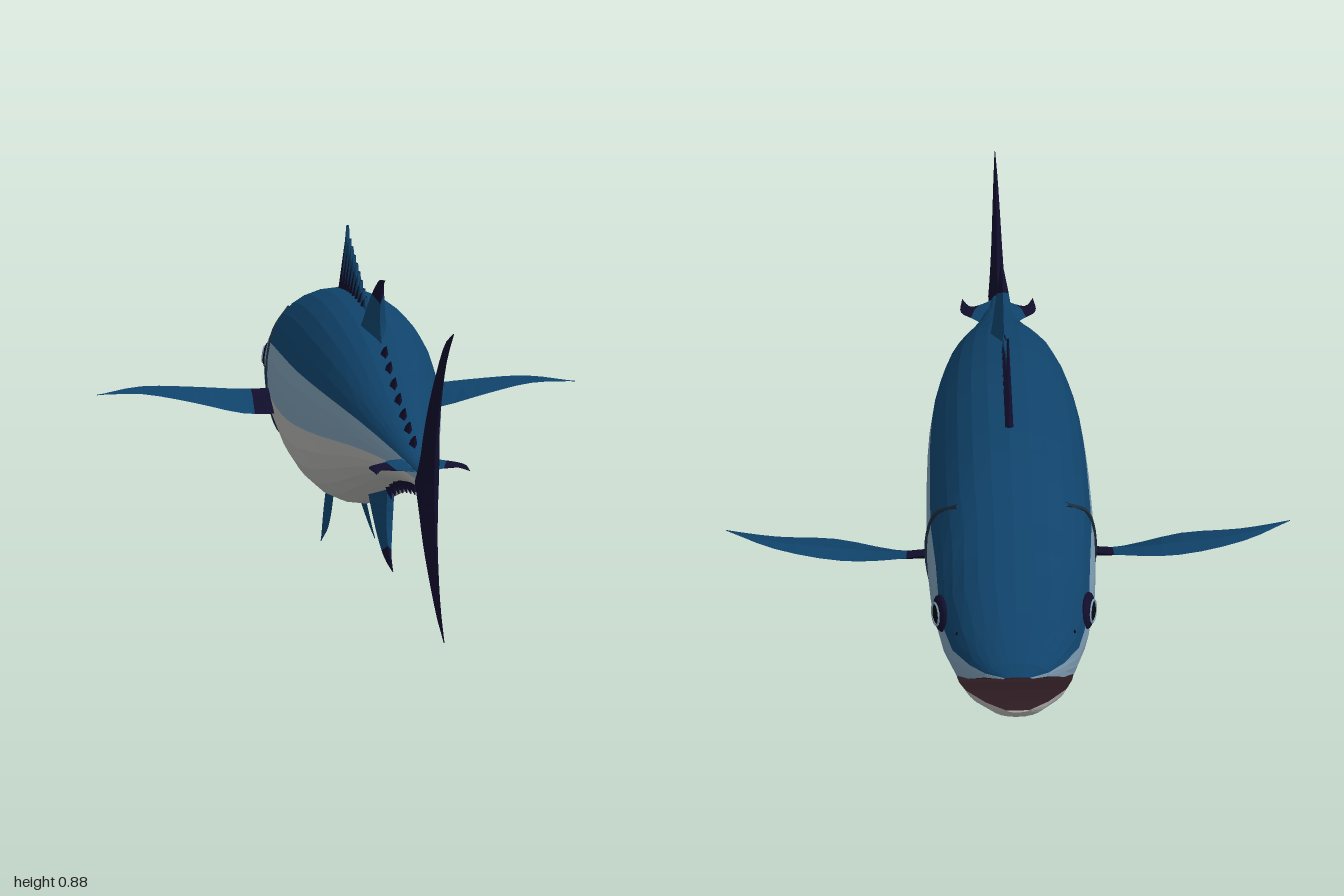
import * as THREE from 'three';

const mat = (name, color) => new THREE.MeshStandardMaterial({ name, color, flatShading: true, side: THREE.DoubleSide });
const M = {
  blue: mat('backBlue', 0x10436b), steel: mat('flankSteel', 0x7b99af), belly: mat('bellyGrey', 0xb2b2b0),
  navy: mat('finNavy', 0x110e2c), mouth: mat('mouthDark', 0x2e1c22), black: mat('pupilBlack', 0x07070b),
  gill: mat('gillLine', 0x1b2c3c),
};
const V = (x, y, z) => new THREE.Vector3(x, y, z);
const curve = pts => new THREE.CatmullRomCurve3(pts.map(p => V(...p)));

// Sections: z, top, widest height, bottom, half width, blue edge, belly edge (or lip)
const KEYS = [
  [0.76, 0.42, 0.4, 0.38, 0.012, 0.41, 0.4],
  [0.7, 0.425, 0.4, 0.375, 0.022, 0.415, 0.4],
  [0.6, 0.455, 0.41, 0.365, 0.045, 0.435, 0.408],
  [0.4, 0.535, 0.425, 0.32, 0.1, 0.475, 0.41],
  [0.2, 0.635, 0.435, 0.24, 0.155, 0.51, 0.4],
  [0, 0.69, 0.44, 0.175, 0.188, 0.53, 0.39],
  [-0.2, 0.71, 0.44, 0.15, 0.2, 0.54, 0.385],
  [-0.4, 0.705, 0.44, 0.15, 0.2, 0.54, 0.39],
  [-0.55, 0.685, 0.44, 0.18, 0.197, 0.535, 0.39],
  [-0.67, 0.645, 0.435, 0.22, 0.188, 0.525, 0.375],
  [-0.78, 0.59, 0.42, 0.265, 0.167, 0.455, 0.33],
];
const END = KEYS[KEYS.length - 1];
const SNOUT = [END,
  [-0.86, 0.543, 0.42, 0.285, 0.14, 0.44, 0.365],
  [-0.92, 0.505, 0.43, 0.32, 0.105, 0.45, 0.41],
  [-0.955, 0.483, 0.445, 0.34, 0.07, 0.456, 0.445],
  [-0.975, 0.462, 0.458, 0.36, 0.03, 0.46, 0.457]];
const JAW = [END,
  [-0.86, 0.543, 0.41, 0.284, 0.142, 0, 0.345],
  [-0.92, 0.505, 0.4, 0.312, 0.113, 0, 0.375],
  [-0.97, 0.48, 0.395, 0.342, 0.068, 0, 0.386],
  [-1.0, 0.43, 0.392, 0.384, 0.025, 0, 0.39]];

// Smooth the body by adding a section between each pair
const BODY = [];
KEYS.forEach((s, i) => {
  BODY.push(s);
  if (i === KEYS.length - 1) return;
  const a = KEYS[Math.max(i - 1, 0)], b = KEYS[i + 1], c = KEYS[Math.min(i + 2, KEYS.length - 1)];
  BODY.push(s.map((v, k) => k ? (9 * (v + b[k]) - a[k] - c[k]) / 16 : (v + b[k]) / 2));
});
const sample = z => {
  let i = 0;
  while (i < BODY.length - 2 && BODY[i + 1][0] > z) i++;
  const t = (z - BODY[i][0]) / (BODY[i + 1][0] - BODY[i][0]);
  return BODY[i].map((v, k) => v + (BODY[i + 1][k] - v) * t);
};

// Rounded cross-section
const N = 2.2;
const pow = (v, e) => Math.sign(v) * Math.abs(v) ** e;
const point = (s, a) => {
  const sn = Math.sin(a), h = sn > 0 ? s[1] - s[2] : s[2] - s[3];
  return V(s[4] * pow(Math.cos(a), 2 / N), s[2] + h * pow(sn, 2 / N), s[0]);
};
const angle = (s, y) => {
  const r = (y - s[2]) / (y > s[2] ? s[1] - s[2] : s[2] - s[3]);
  return Math.asin(pow(THREE.MathUtils.clamp(r, -1, 1), N / 2));
};
const surfaceX = (z, y) => { const s = sample(z); return point(s, angle(s, y)).x; };

// Skin over rows of points
function loft(name, rows, material) {
  const pos = [], w = rows[0].length;
  for (let i = 0; i < rows.length - 1; i++) for (let j = 0; j < w - 1; j++) {
    const a = rows[i][j], b = rows[i][j + 1], c = rows[i + 1][j], d = rows[i + 1][j + 1];
    for (const p of [a, c, b, b, c, d]) pos.push(p.x, p.y, p.z);
  }
  const g = new THREE.BufferGeometry();
  g.setAttribute('position', new THREE.Float32BufferAttribute(pos, 3));
  g.computeVertexNormals();
  const m = new THREE.Mesh(g, material);
  m.name = name;
  return m;
}
function band(name, secs, from, to, n, material) {
  return loft(name, secs.map(s => Array.from({ length: n + 1 }, (_, j) =>
    point(s, from(s) + (to(s) - from(s)) * j / n))), material);
}

// Lens-shaped fin between a leading and a trailing edge; the part after split is navy
function fin(name, lead, trail, thick, normal, split = 1, first = M.blue, second = M.navy) {
  const L = curve(lead), T = curve(trail), n = 12, cut = Math.round(split * n);
  const rows = Array.from({ length: n + 1 }, (_, i) => {
    const t = i / n, l = L.getPoint(t), r = T.getPoint(t);
    const mid = l.clone().lerp(r, 0.45), off = normal.clone().multiplyScalar(thick * (1 - t) + 0.001);
    return [l, mid.clone().add(off), r, mid.clone().sub(off), l];
  });
  const g = new THREE.Group();
  g.name = name;
  if (cut > 0) g.add(loft(name + 'Base', rows.slice(0, cut + 1), first));
  if (cut < n) g.add(loft(name + 'Tip', rows.slice(cut), second));
  return g;
}
const X = V(1, 0, 0), Y = V(0, 1, 0);
const flat = pts => pts.map(([z, y]) => [0, y, z]);

export function createModel() {
  const root = new THREE.Group();
  root.name = 'fish';
  const PI = Math.PI, eB = s => angle(s, s[5]), eS = s => angle(s, s[6]);

  // Body, snout and lower jaw in colour bands
  for (const [name, secs] of [['body', BODY], ['snout', SNOUT]]) {
    root.add(band(name + 'Back', secs, eB, s => PI - eB(s), 12, M.blue));
    root.add(band(name + 'FlankLeft', secs, eS, eB, 3, M.steel));
    root.add(band(name + 'FlankRight', secs, s => PI - eB(s), s => PI - eS(s), 3, M.steel));
  }
  for (const [name, secs] of [['bodyBelly', BODY], ['lowerJaw', JAW]])
    root.add(band(name, secs, s => PI - eS(s), s => 2 * PI + eS(s), 12, M.belly));
  root.add(loft('mouthRoof', SNOUT.map(s => [point(s, PI - eS(s)), point(s, eS(s))]), M.mouth));
  root.add(loft('mouthFloor', JAW.map(s => [point(s, eS(s)), point(s, PI - eS(s))]), M.mouth));

  // Tail lobes
  root.add(fin('tailUpper', flat([[0.69, 0.4], [0.735, 0.45], [0.77, 0.545], [0.84, 0.65], [0.92, 0.725], [1, 0.757]]),
    flat([[0.83, 0.4], [0.832, 0.45], [0.843, 0.51], [0.875, 0.59], [0.93, 0.68], [1, 0.757]]), 0.026, X, 0, M.navy));
  root.add(fin('tailLower', flat([[0.69, 0.4], [0.715, 0.34], [0.75, 0.25], [0.8, 0.18], [0.86, 0.125], [0.935, 0.09]]),
    flat([[0.83, 0.4], [0.835, 0.35], [0.842, 0.3], [0.862, 0.24], [0.89, 0.17], [0.935, 0.09]]), 0.026, X, 0, M.navy));

  // Second dorsal and anal fins
  root.add(fin('secondDorsalFin', flat([[0.0, 0.67], [0.06, 0.71], [0.12, 0.755], [0.18, 0.782], [0.26, 0.79]]),
    flat([[0.22, 0.62], [0.2, 0.66], [0.197, 0.71], [0.21, 0.755], [0.26, 0.79]]), 0.035, X, 0.6));
  root.add(fin('analFin', flat([[0.13, 0.26], [0.19, 0.2], [0.24, 0.14], [0.29, 0.1], [0.37, 0.09]]),
    flat([[0.3, 0.29], [0.285, 0.22], [0.29, 0.17], [0.315, 0.125], [0.37, 0.09]]), 0.035, X, 0.65));

  // First dorsal fin: notched membrane with spines
  const spines = Array.from({ length: 9 }, (_, i) => {
    const z = -0.385 + i * 0.042, t = i / 8;
    const rise = i === 0 ? 0.18 : 0.14 * (1 - t) ** 1.2 + 0.025;
    return { z, y: sample(z)[1] - 0.015, tz: z + 0.1 - 0.05 * t, ty: sample(z)[1] + rise };
  });
  const shape = new THREE.Shape();
  shape.moveTo(spines[0].z, spines[0].y);
  spines.forEach((s, i) => {
    shape.lineTo(s.tz, s.ty);
    const q = spines[i + 1];
    if (q) shape.lineTo(s.tz * 0.35 + q.tz * 0.65 - 0.012, Math.min(s.ty, q.ty) - 0.025);
  });
  shape.lineTo(0.02, 0.67);
  const membrane = new THREE.ExtrudeGeometry(shape, { depth: 0.008, bevelEnabled: false });
  membrane.translate(0, 0, -0.004).rotateY(-PI / 2);
  const dorsal = new THREE.Mesh(membrane, M.blue);
  dorsal.name = 'firstDorsalFin';
  root.add(dorsal);
  spines.forEach(s => {
    const a = V(0, s.y, s.z), d = V(0, s.ty, s.tz).sub(a);
    const m = new THREE.Mesh(new THREE.CylinderGeometry(0.002, 0.012, d.length(), 6), M.navy);
    m.position.copy(a).addScaledVector(d, 0.5);
    m.quaternion.setFromUnitVectors(Y, d.normalize());
    m.name = 'dorsalSpine';
    root.add(m);
  });

  // Finlets along both edges of the tail stem
  for (const [name, k, dir, z0] of [['upperFinlet', 1, 1, 0.26], ['lowerFinlet', 3, -1, 0.33]])
    for (let i = 0; i < 7; i++) {
      const z = z0 + i * (0.61 - z0) / 6, y = sample(z)[k];
      const at = pts => flat(pts.map(([dz, dy]) => [z + dz, y + dir * dy]));
      root.add(fin(name, at([[-0.03, -0.01], [-0.012, 0.016], [0.018, 0.026]]),
        at([[0.015, -0.015], [0.01, 0.008], [0.018, 0.026]]), 0.012, X, 0));
    }

  // Paired parts
  for (const side of [1, -1]) {
    const tag = side > 0 ? 'Left' : 'Right';
    const mir = pts => pts.map(([x, y, z]) => [x * side, y, z]);

    root.add(fin('pectoralFin' + tag,
      mir([[0.185, 0.41, -0.485], [0.28, 0.408, -0.5], [0.4, 0.415, -0.51], [0.56, 0.427, -0.475], [0.685, 0.42, -0.39]]),
      mir([[0.185, 0.35, -0.4], [0.28, 0.355, -0.395], [0.42, 0.39, -0.393], [0.56, 0.415, -0.412], [0.685, 0.42, -0.39]]),
      0.014, Y, 0.14, M.navy, M.blue));

    root.add(fin('pelvicFin' + tag,
      mir([[0.035, 0.18, -0.4], [0.048, 0.12, -0.39], [0.062, 0.06, -0.35], [0.077, 0.003, -0.29]]),
      mir([[0.035, 0.18, -0.31], [0.048, 0.115, -0.262], [0.062, 0.05, -0.255], [0.077, 0.003, -0.29]]),
      0.012, X));

    root.add(fin('tailKeel' + tag,
      mir([[0.03, 0.412, 0.55], [0.07, 0.412, 0.6], [0.108, 0.412, 0.64], [0.105, 0.412, 0.72]]),
      mir([[0.01, 0.412, 0.72], [0.045, 0.412, 0.69], [0.08, 0.412, 0.675], [0.105, 0.412, 0.72]]),
      0.014, Y, 0.4));

    // Gill cover edge lying on the skin
    const gill = curve([[-0.59, 0.63], [-0.54, 0.57], [-0.518, 0.48], [-0.515, 0.385], [-0.545, 0.29], [-0.59, 0.25], [-0.65, 0.238]]
      .map(([z, y]) => [side * surfaceX(z, y), y, z]));
    const edge = new THREE.Mesh(new THREE.TubeGeometry(gill, 28, 0.006, 5), M.gill);
    edge.name = 'gillEdge' + tag;
    root.add(edge);

    // Eye
    const eye = new THREE.Group();
    eye.name = 'eye' + tag;
    const ez = -0.765, ey = 0.465;
    eye.position.set(side * (surfaceX(ez, ey) - 0.002), ey, ez);
    eye.lookAt(eye.position.clone().add(V(side, 0.12, -0.3)));
    const part = (name, geo, m, z, sz = 1) => {
      const p = new THREE.Mesh(geo, m);
      p.name = name; p.position.z = z; p.scale.z = sz;
      eye.add(p);
    };
    part('eyeRim', new THREE.SphereGeometry(0.042, 16, 10), M.navy, 0, 0.35);
    part('iris', new THREE.TorusGeometry(0.025, 0.003, 5, 16), M.steel, 0.012);
    part('pupil', new THREE.SphereGeometry(0.021, 12, 8), M.black, 0.01, 0.35);
    root.add(eye);

    // Nostril
    const nostril = new THREE.Mesh(new THREE.SphereGeometry(0.006, 6, 5), M.black);
    nostril.name = 'nostril' + tag;
    nostril.position.set(side * 0.126, 0.478, -0.85);
    root.add(nostril);
  }
  return root;
}
